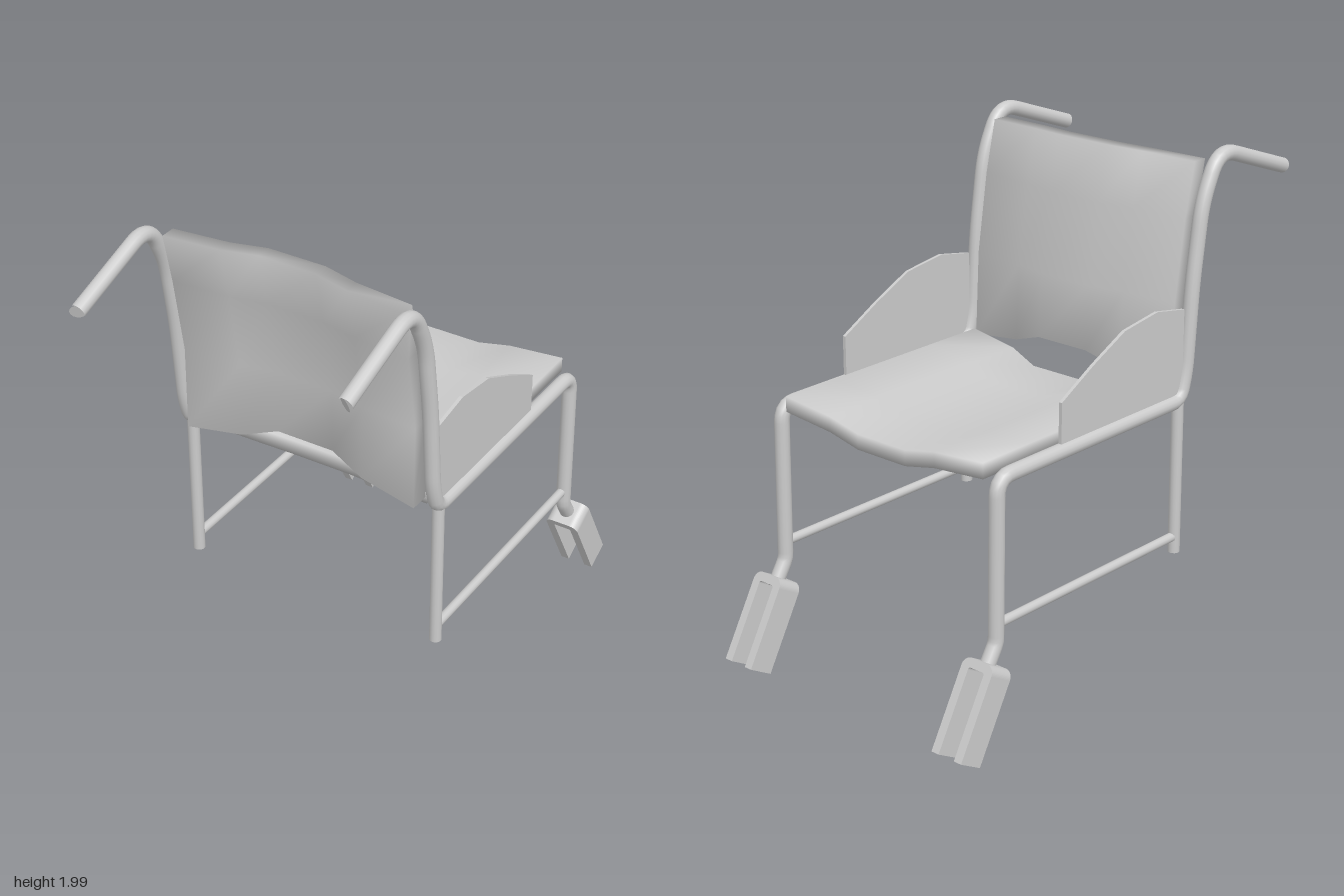
import * as THREE from 'three';
import { mergeVertices } from 'three/addons/utils/BufferGeometryUtils.js';

const SIDE = 0.548; // half the distance between the two side frames
const material = new THREE.MeshStandardMaterial({ color: 0xcccccc });
const V = (x, y, z) => new THREE.Vector3(x, y, z);

function add(parent, name, geometry) {
  const mesh = new THREE.Mesh(geometry, material);
  mesh.name = name;
  parent.add(mesh);
  return mesh;
}

// Polyline with each inner corner rounded off by its own radius
function roundedPath(corners) {
  const path = new THREE.CurvePath();
  const pts = corners.map(([z, y]) => V(0, y, z));
  let from = pts[0];
  for (let i = 1; i < pts.length - 1; i++) {
    const p = pts[i], r = corners[i][2];
    const a = p.clone().add(pts[i - 1].clone().sub(p).setLength(r));
    const b = p.clone().add(pts[i + 1].clone().sub(p).setLength(r));
    path.add(new THREE.LineCurve3(from, a));
    path.add(new THREE.QuadraticBezierCurve3(a, p, b));
    from = b;
  }
  path.add(new THREE.LineCurve3(from, pts[pts.length - 1]));
  return path;
}

// Padded sheet: a closed slab whose grid is moved by place(column, row, layer)
function sheet(columns, rows, place) {
  let geo = new THREE.BoxGeometry(columns, rows, 1, columns, rows, 1);
  geo.deleteAttribute('normal');
  geo.deleteAttribute('uv');
  geo = mergeVertices(geo);
  const pos = geo.attributes.position;
  for (let i = 0; i < pos.count; i++) {
    const [x, y, z] = place(
      Math.round(pos.getX(i) + columns / 2),
      Math.round(pos.getY(i) + rows / 2),
      Math.round(pos.getZ(i) + 0.5));
    pos.setXYZ(i, x, y, z);
  }
  geo.computeVertexNormals();
  return geo;
}

function sideFrame(x) {
  const side = new THREE.Group();
  side.name = x > 0 ? 'leftSide' : 'rightSide';
  side.position.x = x;

  // Bent tube: push handle, back post, seat rail and front leg as [z, y, radius]
  const path = roundedPath([
    [0.97, 1.845], [0.55, 1.99, 0.1], [0.455, 1.8, 0.08], [0.41, 1.5, 0.08],
    [0.382, 1.16, 0.05], [0.35, 1.047, 0.05], [-0.695, 1.047, 0.07],
    [-0.703, 0.415, 0.02], [-0.76, 0.325],
  ]);
  const frame = add(side, 'frameTube', new THREE.TubeGeometry(path, 140, 0.03, 14));
  for (const t of [0, 1]) {
    const cap = add(frame, 'tubeEnd', new THREE.CircleGeometry(0.03, 14));
    const end = path.getPointAt(t);
    cap.position.copy(end);
    cap.lookAt(end.clone().addScaledVector(path.getTangentAt(t), t ? 1 : -1));
  }

  // Rear leg and lower brace
  add(side, 'rearLeg', new THREE.CylinderGeometry(0.024, 0.024, 0.63, 14))
    .position.set(0, 0.735, 0.337);
  const brace = add(side, 'lowerBrace', new THREE.CylinderGeometry(0.0185, 0.0185, 1.035, 12));
  brace.rotation.x = Math.PI / 2;
  brace.position.set(0, 0.485, -0.18);

  // Thin side guard, drawn as (z, y)
  const guard = new THREE.Shape([
    [0.355, 1.05], [0.355, 1.41], [0.19, 1.44], [0, 1.415],
    [-0.18, 1.33], [-0.355, 1.235], [-0.355, 1.05],
  ].map(([z, y]) => new THREE.Vector2(-z, y)));
  const panel = add(side, 'sideGuard',
    new THREE.ExtrudeGeometry(guard, { depth: 0.014, bevelEnabled: false }));
  panel.rotation.y = Math.PI / 2;
  panel.position.x = -0.007;

  // Castor fork: an upside-down U tilted forward
  const w = 0.072, t = 0.035, len = 0.365, r = 0.036;
  const u = new THREE.Shape();
  u.moveTo(-w, -len);
  u.lineTo(-w + t, -len);
  u.lineTo(-w + t, -t - 0.01);
  u.quadraticCurveTo(-w + t, -t, -w + t + 0.01, -t);
  u.lineTo(w - t - 0.01, -t);
  u.quadraticCurveTo(w - t, -t, w - t, -t - 0.01);
  u.lineTo(w - t, -len);
  u.lineTo(w, -len);
  u.lineTo(w, -r);
  u.absarc(w - r, -r, r, 0, Math.PI / 2, false);
  u.lineTo(-w + r, 0);
  u.absarc(-w + r, -r, r, Math.PI / 2, Math.PI, false);
  u.closePath();
  const forkGeo = new THREE.ExtrudeGeometry(u, { depth: 0.114, bevelEnabled: false, curveSegments: 6 });
  forkGeo.translate(0, 0, -0.057);
  const fork = add(side, 'castorFork', forkGeo);
  fork.rotation.x = 0.516;
  fork.position.set(0, 0.346, -0.741);
  return side;
}

export function createModel() {
  const model = new THREE.Group();
  model.name = 'wheelchairFrame';
  model.add(sideFrame(SIDE), sideFrame(-SIDE));

  // Column positions across the fabric and how far each one sags
  const across = [-0.5, -0.265, -0.12, 0.12, 0.265, 0.5];
  const sag = [0, 0.4, 1, 1, 0.4, 0];

  // Seat: hangs down in the middle, rear edge pulled forward
  add(model, 'seat', sheet(5, 4, (c, row, layer) => {
    const rear = 0.34 - 0.07 * sag[c];
    return [
      across[c],
      1.038 + 0.062 * layer - 0.053 * sag[c],
      THREE.MathUtils.lerp(rear, -0.715, row / 4),
    ];
  }));

  // Backrest: leans with the posts, bulges forward; rows are [y, front z, rear z]
  const rows = [[1.075, 0.35, 0.435], [1.42, 0.367, 0.432], [1.74, 0.417, 0.485], [1.95, 0.467, 0.53]];
  add(model, 'backrest', sheet(5, 3, (c, row, layer) => {
    const [y, front, rear] = rows[row];
    const lift = row === 0 ? 0.085 : row === 3 ? 0.01 : 0;
    return [across[c], y + lift * sag[c], (layer ? rear : front) - 0.05 * sag[c]];
  }));

  return model;
}
